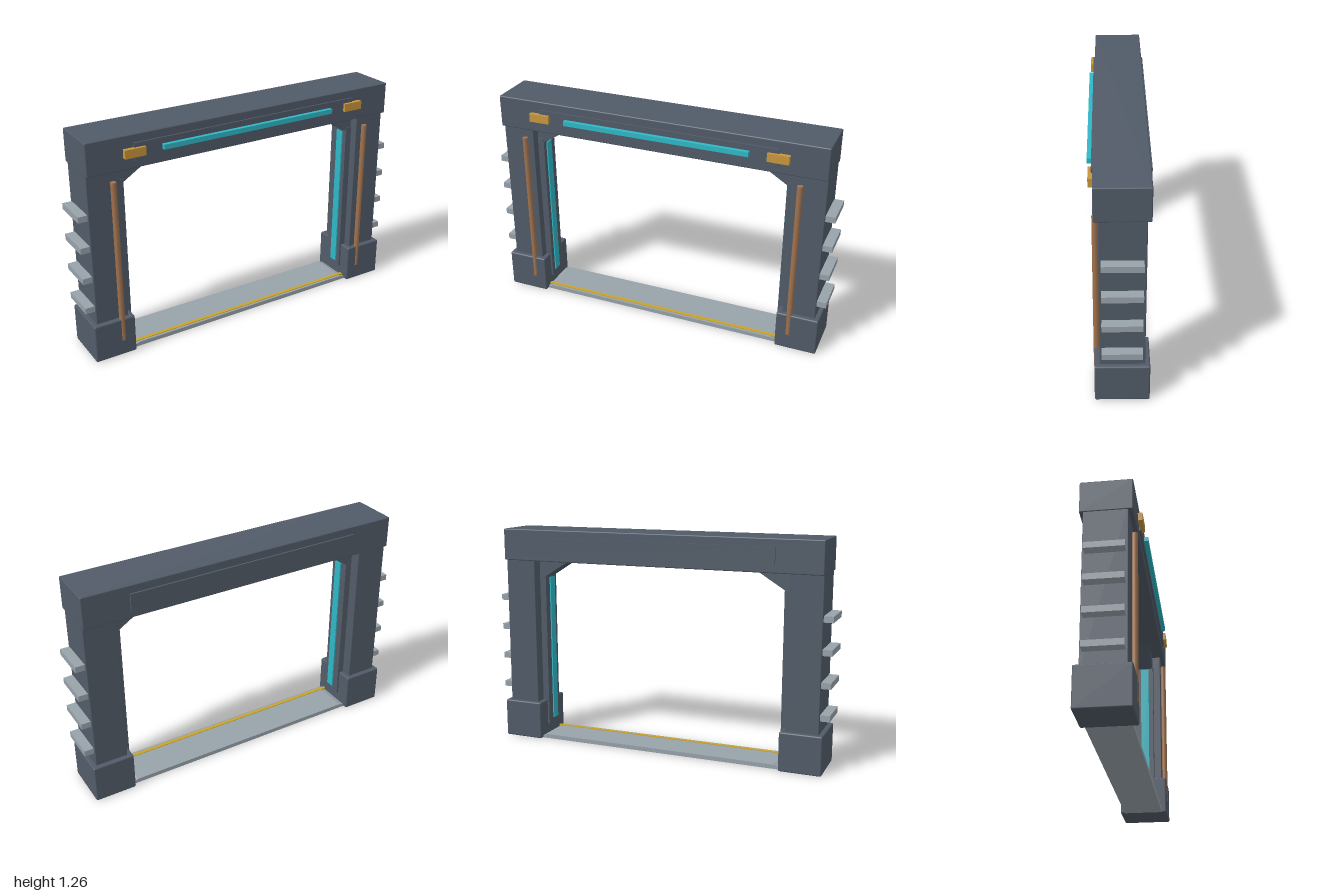
import * as THREE from 'three';
import { RoundedBoxGeometry } from 'three/addons/geometries/RoundedBoxGeometry.js';

function mat(name, color) {
  const m = new THREE.MeshStandardMaterial({ color });
  m.name = name;
  return m;
}

export function createModel() {
  const group = new THREE.Group();
  group.name = 'gateway';
  const slate = mat('slate', 0x515b68);
  const steel = mat('pale steel', 0x98a2aa);
  const cyan = mat('cyan light', 0x2fb8c6);
  const amber = mat('amber', 0xc8963c);
  const copper = mat('copper', 0xa0724e);
  const yellow = mat('safety yellow', 0xc9a227);

  function add(name, geometry, material) {
    const mesh = new THREE.Mesh(geometry, material);
    mesh.name = name;
    group.add(mesh);
    return mesh;
  }
  // Box given by its limits on each axis, with an optional small bevel
  function box(name, material, [x0, x1], [y0, y1], [z0, z1], bevel = 0) {
    const size = [Math.abs(x1 - x0), y1 - y0, z1 - z0];
    const geometry = bevel
      ? new RoundedBoxGeometry(...size, 2, bevel)
      : new THREE.BoxGeometry(...size);
    const mesh = add(name, geometry, material);
    mesh.position.set((x0 + x1) / 2, (y0 + y1) / 2, (z0 + z1) / 2);
    return mesh;
  }
  // Outline in x and y, extruded from z0 to z1
  function prism(name, material, points, z0, z1) {
    const shape = new THREE.Shape(points.map(([x, y]) => new THREE.Vector2(x, y)));
    const geometry = new THREE.ExtrudeGeometry(shape, { depth: z1 - z0, bevelEnabled: false });
    add(name, geometry.translate(0, 0, z0), material);
  }

  // Lintel with raised panels on both faces and a light bar on the front
  box('lintel', slate, [-0.95, 0.95], [1.077, 1.26], [-0.147, 0.128], 0.006);
  box('frontPanel', slate, [-0.69, 0.69], [1.12, 1.215], [0.12, 0.137]);
  box('backPanel', slate, [-0.69, 0.69], [1.12, 1.215], [-0.157, -0.14]);
  box('lightBar', cyan, [-0.533, 0.533], [1.155, 1.182], [0.13, 0.16]);

  // Threshold with sloped ends and a warning stripe
  prism('threshold', steel,
    [[-0.745, 0.001], [0.745, 0.001], [0.735, 0.014], [0.705, 0.025], [-0.705, 0.025], [-0.735, 0.014]],
    -0.127, 0.103);
  box('warningStripe', yellow, [-0.733, 0.733], [0.02, 0.028], [0.067, 0.088]);

  for (const s of [-1, 1]) {
    // Post and foot
    box('post', slate, [s * 0.762, s * 0.947], [0.2, 1.09], [-0.127, 0.104], 0.004);
    box('foot', slate, [s * 0.735, s * 0.973], [0, 0.222], [-0.153, 0.131], 0.008);

    // Corner brace under the lintel
    prism('cornerBrace', slate,
      [[s * 0.77, 1.08], [s * 0.77, 0.951], [s * 0.76, 0.957], [s * 0.562, 1.08]], -0.065, 0.052);

    // Inner rail with a light strip
    box('innerRail', slate, [s * 0.724, s * 0.77], [0.07, 1.0], [-0.065, 0.058]);
    box('innerLight', cyan, [s * 0.717, s * 0.73], [0.1, 0.97], [-0.02, 0.03]);

    // Conduit on the front of the post
    add('conduit', new THREE.CylinderGeometry(0.016, 0.016, 0.933, 10), copper)
      .position.set(s * 0.807, 0.557, 0.12);

    // Marker lamp on the lintel
    box('markerLamp', amber, [s * 0.63, s * 0.748], [1.144, 1.191], [0.125, 0.153]);

    // Fins on the outer side
    for (let i = 0; i < 4; i++) {
      const y = 0.313 + i * 0.178;
      box('sideFin', steel, [s * 0.94, s], [y - 0.017, y + 0.017], [-0.113, 0.093]);
    }
  }
  return group;
}
